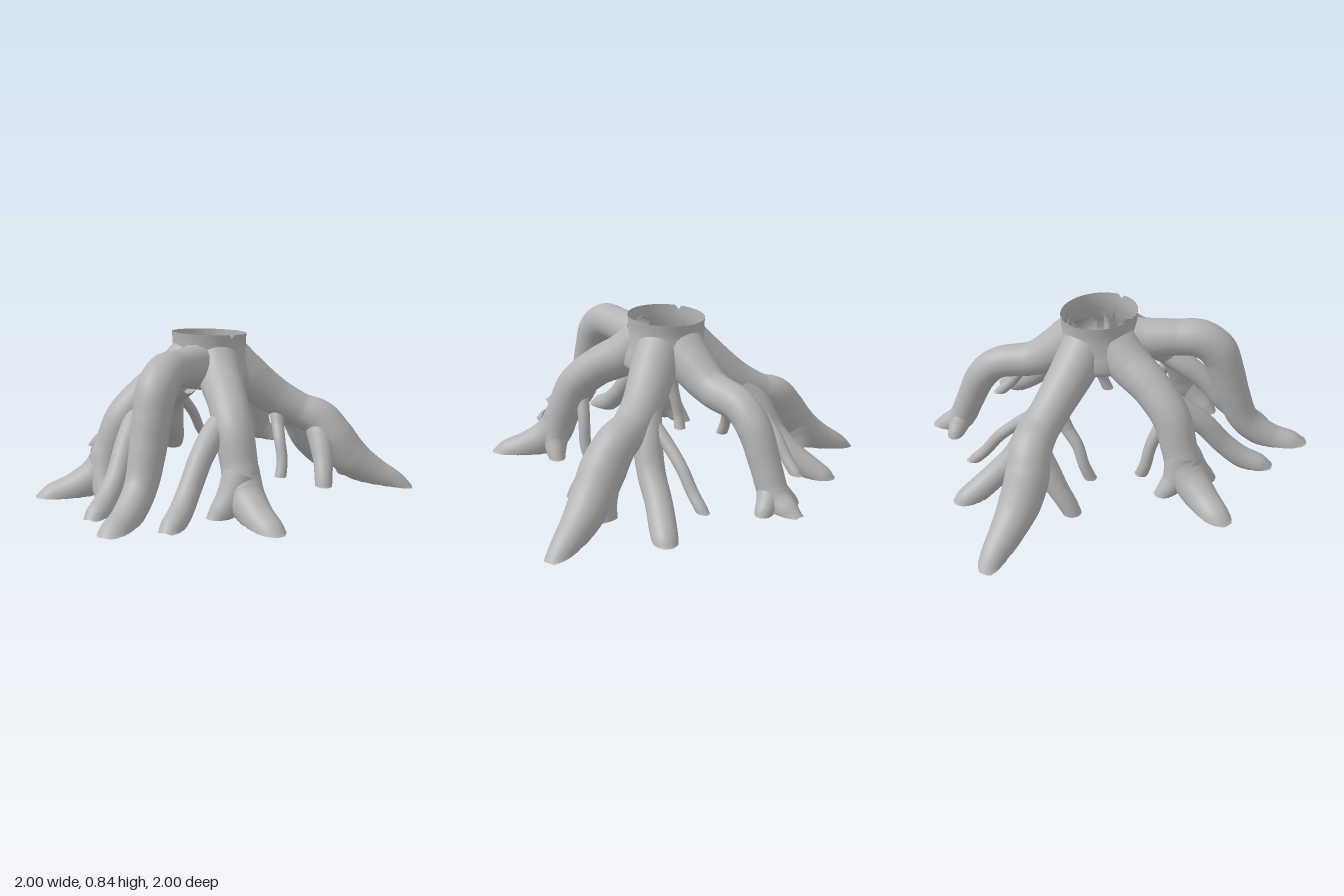
import * as THREE from 'three';

const bark = new THREE.MeshStandardMaterial({ color: 0xb4b4b4, side: THREE.DoubleSide });
bark.name = 'grey bark';

const AXIS_Z = -0.083; // centre of the stump

// Grid of rings into a mesh, leaving out faces whose corners are all dropped
function skin(name, pos, index, dropped) {
  const kept = [];
  for (let i = 0; i < index.length; i += 3) {
    const f = [index[i], index[i + 1], index[i + 2]];
    if (!f.every(n => dropped[n])) kept.push(...f);
  }
  const g = new THREE.BufferGeometry();
  g.setAttribute('position', new THREE.Float32BufferAttribute(pos, 3));
  g.setIndex(kept);
  g.computeVertexNormals();
  const mesh = new THREE.Mesh(g, bark);
  mesh.name = name;
  return mesh;
}

// Hollow tapering root through stations [x, y, z, radius], open at the floor and inside the stump
function root(name, stations, floor, sides = 24) {
  const curve = new THREE.CatmullRomCurve3(
    stations.map(s => new THREE.Vector3(s[0], s[1], s[2])), false, 'centripetal');
  const rings = stations.length * 9;
  const { normals, binormals } = curve.computeFrenetFrames(rings, false);
  const pos = [], index = [], dropped = [];
  for (let i = 0; i <= rings; i++) {
    const u = i / rings;
    const p = curve.getPointAt(u);
    const t = curve.getUtoTmapping(u) * (stations.length - 1);
    const k = Math.min(Math.floor(t), stations.length - 2);
    const r = THREE.MathUtils.lerp(stations[k][3], stations[k + 1][3], t - k);
    for (let j = 0; j < sides; j++) {
      const a = (j / sides) * Math.PI * 2;
      const v = p.clone()
        .addScaledVector(normals[i], r * Math.cos(a))
        .addScaledVector(binormals[i], r * Math.sin(a));
      const f = floor(v.x);
      dropped.push(v.y < f || Math.hypot(v.x, v.z - AXIS_Z) < 0.192);
      pos.push(v.x, Math.max(v.y, f), v.z);
    }
  }
  for (let i = 0; i < rings; i++) {
    for (let j = 0; j < sides; j++) {
      const a = i * sides + j, b = i * sides + (j + 1) % sides;
      index.push(a, b, a + sides, b, b + sides, a + sides);
    }
  }
  return skin(name, pos, index, dropped);
}

// Open stump with a sloping rim, two small splits and holes where the roots join
function trunk() {
  const profile = [[0.001, 0.57], [0.1, 0.56], [0.17, 0.555], [0.215, 0.58], [0.217, 0.63], [0.2, 0.69], [0.188, 0.76], [0.19, 0.823]];
  const mouths = [
    [0, 0.69, 0.12], [0, 0.61, -0.29], [0.14, 0.62, 0.075], [-0.14, 0.62, 0.075],
    [0.18, 0.6, -0.19], [-0.18, 0.6, -0.19]].map(m => new THREE.Vector3(...m));
  const g = new THREE.LatheGeometry(new THREE.SplineCurve(
    profile.map(p => new THREE.Vector2(...p))).getPoints(36), 72);
  g.translate(0, 0, AXIS_Z);
  const pos = [], dropped = [], v = new THREE.Vector3();
  for (let i = 0; i < g.attributes.position.count; i++) {
    v.fromBufferAttribute(g.attributes.position, i);
    dropped.push(mouths.some(m => m.distanceTo(v) < 0.09));
    if (v.y > 0.7) v.y += (v.z - AXIS_Z) * 0.065 * (v.y - 0.7) / 0.123;
    if (v.y > 0.815 && Math.abs(Math.atan2(Math.abs(v.x), v.z - AXIS_Z) - 1.047) < 0.03) v.y -= 0.02;
    pos.push(v.x, v.y, v.z);
  }
  return skin('trunk', pos, Array.from(g.index.array), dropped);
}

export function createModel() {
  const model = new THREE.Group();
  model.name = 'stiltRoots';
  const flat = y => () => y;
  model.add(trunk());

  // Centre roots
  model.add(root('frontRoot', [
    [0, 0.67, 0.03, 0.12], [0, 0.68, 0.14, 0.102], [0, 0.695, 0.3, 0.09], [0, 0.695, 0.42, 0.094],
    [0, 0.635, 0.505, 0.096], [0, 0.52, 0.555, 0.09], [0, 0.38, 0.6, 0.086], [0, 0.22, 0.675, 0.076],
    [0, 0.12, 0.81, 0.07], [0, 0.085, 0.91, 0.07], [0, 0.05, 0.972, 0.06]], flat(0.1)));
  model.add(root('backRoot', [
    [0, 0.71, -0.16, 0.12], [0, 0.605, -0.29, 0.108], [0, 0.53, -0.42, 0.088], [0, 0.49, -0.61, 0.08],
    [0, 0.41, -0.7, 0.08], [0, 0.25, -0.78, 0.072], [0, 0.13, -0.84, 0.07],
    [0, 0.08, -0.92, 0.055], [0, 0.05, -0.98, 0.035]], flat(0.075)));

  // Mirrored pairs
  const slope = x => Math.max(0, 0.15 - 0.15 * Math.abs(x));
  const pairs = {
    FrontRoot: [[
      [0.05, 0.73, -0.03, 0.115], [0.13, 0.62, 0.07, 0.11], [0.22, 0.535, 0.195, 0.097], [0.295, 0.425, 0.295, 0.094],
      [0.345, 0.27, 0.345, 0.088], [0.385, 0.16, 0.385, 0.094], [0.48, 0.085, 0.465, 0.08],
      [0.57, 0.045, 0.535, 0.07], [0.612, 0.01, 0.57, 0.055]], flat(0.058)],
    FrontRootInnerToe: [[
      [0.36, 0.24, 0.37, 0.085], [0.34, 0.15, 0.415, 0.075], [0.305, 0.075, 0.465, 0.06], [0.275, 0.02, 0.505, 0.04]], flat(0.06)],
    FrontRootRearToe: [[
      [0.36, 0.25, 0.355, 0.085], [0.4, 0.14, 0.335, 0.066], [0.43, 0.07, 0.285, 0.045], [0.44, 0.03, 0.255, 0.035]], flat(0.06)],
    FrontBranch: [[
      [0.25, 0.48, 0.23, 0.07], [0.215, 0.42, 0.33, 0.062], [0.2, 0.33, 0.45, 0.056], [0.19, 0.21, 0.555, 0.054],
      [0.19, 0.13, 0.65, 0.055], [0.19, 0.085, 0.74, 0.055], [0.19, 0.05, 0.79, 0.045]], flat(0.08)],
    FrontThinRoot: [[
      [0.27, 0.41, 0.28, 0.035], [0.29, 0.33, 0.235, 0.032], [0.31, 0.24, 0.2, 0.03],
      [0.32, 0.14, 0.18, 0.03], [0.31, 0.06, 0.155, 0.032]], flat(0.075)],
    BackRoot: [[
      [0.06, 0.72, -0.12, 0.115], [0.17, 0.595, -0.185, 0.112], [0.3, 0.475, -0.265, 0.098], [0.42, 0.4, -0.32, 0.092],
      [0.52, 0.36, -0.345, 0.098], [0.6, 0.265, -0.355, 0.107], [0.69, 0.155, -0.385, 0.1],
      [0.8, 0.075, -0.43, 0.08], [0.9, 0.02, -0.47, 0.063], [0.965, -0.035, -0.49, 0.05]], slope],
    BackRootToe: [[
      [0.62, 0.25, -0.37, 0.09], [0.65, 0.15, -0.405, 0.075], [0.65, 0.06, -0.44, 0.05]], flat(0.05)],
    BackBranch: [[
      [0.3, 0.46, -0.29, 0.075], [0.36, 0.36, -0.37, 0.07], [0.4, 0.22, -0.45, 0.065], [0.44, 0.12, -0.55, 0.062],
      [0.485, 0.055, -0.63, 0.062], [0.52, 0.01, -0.69, 0.058], [0.535, -0.03, -0.72, 0.048]], flat(0.015)],
    BackThinRoot: [[
      [0.31, 0.46, -0.28, 0.055], [0.315, 0.4, -0.37, 0.038], [0.31, 0.33, -0.47, 0.03], [0.31, 0.25, -0.56, 0.029],
      [0.31, 0.16, -0.63, 0.028], [0.31, 0.1, -0.69, 0.028], [0.31, 0.07, -0.715, 0.025]], flat(0.09)],
    SideBranch: [[
      [0.52, 0.34, -0.34, 0.08], [0.555, 0.25, -0.27, 0.062], [0.585, 0.17, -0.215, 0.05],
      [0.605, 0.09, -0.165, 0.045], [0.615, 0.03, -0.14, 0.042]], flat(0.06)],
    SideThinRoot: [[
      [0.31, 0.43, -0.26, 0.045], [0.34, 0.34, -0.2, 0.032], [0.37, 0.27, -0.15, 0.029],
      [0.395, 0.18, -0.12, 0.028], [0.4, 0.08, -0.08, 0.03]], flat(0.1)],
  };
  for (const [name, [stations, floor]] of Object.entries(pairs)) {
    for (const side of [1, -1]) {
      const path = stations.map(([x, y, z, r]) => [x * side, y, z, r]);
      model.add(root((side > 0 ? 'left' : 'right') + name, path, floor));
    }
  }

  // Side toes of the back root
  for (const side of [1, -1]) {
    model.add(root(side > 0 ? 'leftHeelToe' : 'rightHeelToe', [
      [0, 0.17, -0.81, 0.06], [0.045 * side, 0.115, -0.84, 0.052],
      [0.085 * side, 0.075, -0.855, 0.042], [0.11 * side, 0.04, -0.86, 0.03]], flat(0.07)));
  }
  return model;
}
